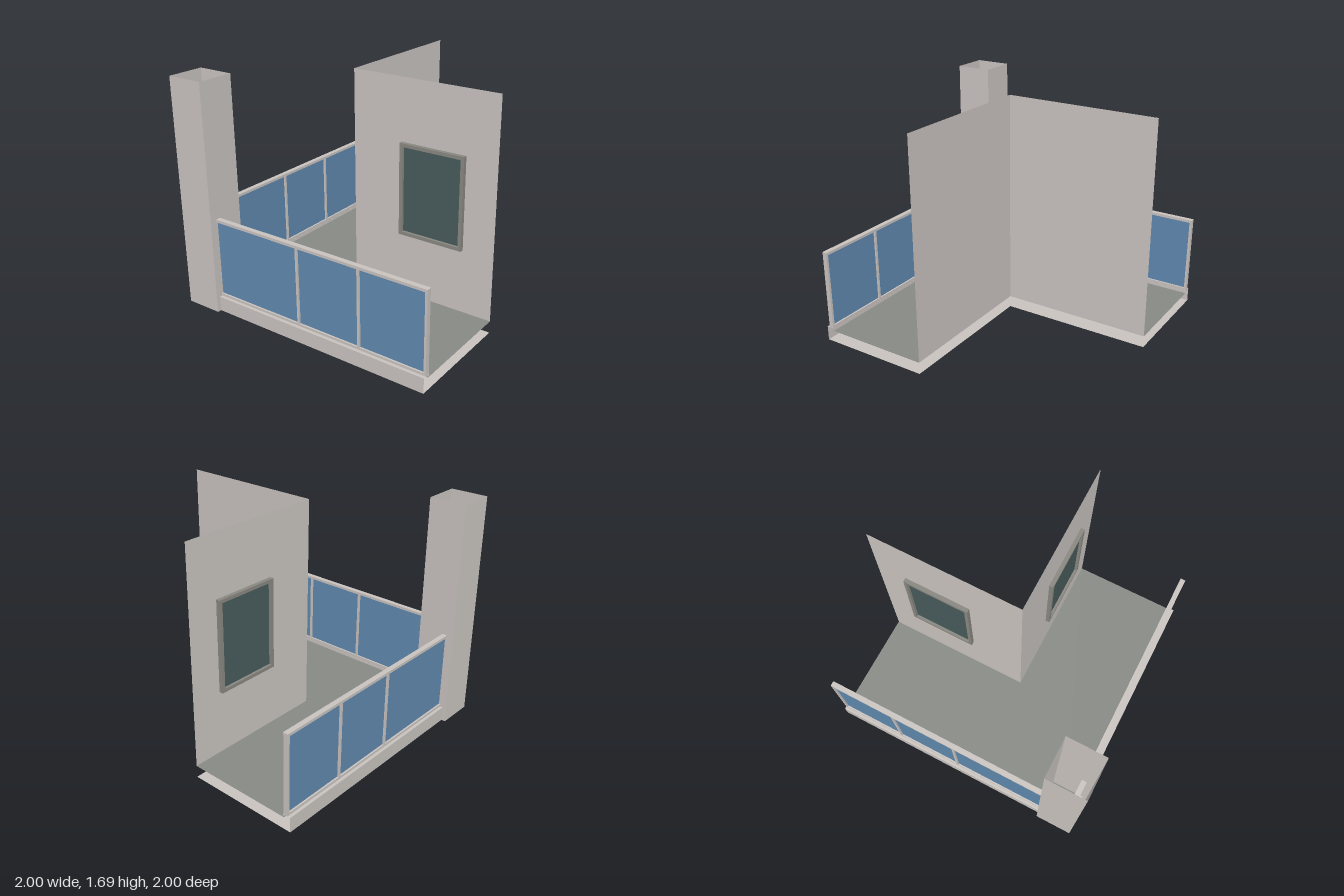
import * as THREE from 'three';

const mat = (name, color, side = THREE.FrontSide) => {
  const m = new THREE.MeshStandardMaterial({ color, side });
  m.name = name;
  return m;
};

export function createModel() {
  const plaster = mat('plaster', 0xc8c2be, THREE.DoubleSide);
  const tile = mat('floorTile', 0x868983, THREE.DoubleSide);
  const frameGrey = mat('windowFrameGrey', 0x87867f);
  const windowDark = mat('windowGlass', 0x475a5a);
  const blue = mat('railingGlass', 0x5f87ad);

  const model = new THREE.Group();
  model.name = 'cornerBalcony';

  const add = (parent, name, geometry, material) => {
    const mesh = new THREE.Mesh(geometry, material);
    mesh.name = name;
    parent.add(mesh);
    return mesh;
  };
  // box given by its limits on each axis
  const box = (parent, name, x0, x1, y0, y1, z0, z1, material) =>
    add(parent, name, new THREE.BoxGeometry(Math.abs(x1 - x0), y1 - y0, z1 - z0), material)
      .position.set((x0 + x1) / 2, (y0 + y1) / 2, (z0 + z1) / 2);
  // upright sheet facing +z
  const sheet = (parent, name, x0, x1, y0, y1, z, material) =>
    add(parent, name, new THREE.PlaneGeometry(Math.abs(x1 - x0), y1 - y0), material)
      .position.set((x0 + x1) / 2, (y0 + y1) / 2, z);

  // L-shaped horizontal sheet reaching out to the distance e
  const slab = (name, e, y, material) => {
    const pts = [[-e, -e], [1, -e], [1, -0.13], [-0.13, -0.13], [-0.13, 1], [-e, 1]];
    const geo = new THREE.ShapeGeometry(new THREE.Shape(pts.map(p => new THREE.Vector2(...p))));
    geo.rotateX(-Math.PI / 2);
    add(model, name, geo, material).position.y = y;
  };
  slab('floor', 0.92, 0.09, tile);
  slab('soffit', 0.97, 0.002, plaster);

  // hollow corner column, open at both ends
  const column = new THREE.Group();
  column.name = 'cornerColumn';
  column.position.set(-0.86, 0, 0.86);
  for (let i = 0; i < 4; i++) {
    const geo = new THREE.PlaneGeometry(0.28, 1.69);
    geo.translate(0, 0.845, 0.14);
    geo.rotateY(i * Math.PI / 2);
    add(column, 'columnSide', geo, plaster);
  }
  model.add(column);

  // one wing: wall, window, fascia and railing; s mirrors along x
  const wing = (name, s) => {
    const g = new THREE.Group();
    g.name = name;
    sheet(g, 'wall', -0.13 * s, s, 0.09, 1.69, 0.13, plaster);

    // window frame with recessed pane
    const outline = new THREE.Shape();
    outline.moveTo(-0.25, 0.565).lineTo(0.25, 0.565).lineTo(0.25, 1.24).lineTo(-0.25, 1.24).closePath();
    const hole = new THREE.Path();
    hole.moveTo(-0.225, 0.59).lineTo(-0.225, 1.215).lineTo(0.225, 1.215).lineTo(0.225, 0.59).closePath();
    outline.holes.push(hole);
    add(g, 'windowFrame', new THREE.ExtrudeGeometry(outline, { depth: 0.03, bevelEnabled: false }), frameGrey)
      .position.set(0.52 * s, 0, 0.135);
    box(g, 'windowPane', 0.295 * s, 0.745 * s, 0.59, 1.215, 0.137, 0.145, windowDark);

    // fascia, ledge and inner kerb
    sheet(g, 'fascia', -0.97 * s, s, 0, 0.11, 0.97, plaster);
    sheet(g, 'kerb', -0.91 * s, s, 0.09, 0.115, 0.911, plaster);
    const ledge = new THREE.PlaneGeometry(1.97, 0.06);
    ledge.rotateX(-Math.PI / 2);
    add(g, 'ledge', ledge, plaster).position.set(0.015 * s, 0.11, 0.94);

    // railing bars, posts and glass
    box(g, 'handrail', -0.95 * s, s, 0.685, 0.705, 0.911, 0.949, plaster);
    box(g, 'bottomRail', -0.95 * s, s, 0.112, 0.13, 0.915, 0.949, plaster);
    const posts = [-0.94, -0.005, 0.4925, 0.9915];
    posts.forEach((x, i) => {
      box(g, 'post', (x - 0.0085) * s, (x + 0.0085) * s, 0.115, 0.685, 0.915, 0.949, plaster);
      if (i) box(g, 'glassPanel', (posts[i - 1] + 0.0085) * s, (x - 0.0085) * s, 0.13, 0.685, 0.928, 0.936, blue);
    });
    model.add(g);
    return g;
  };
  wing('frontWing', 1);
  wing('sideWing', -1).rotation.y = -Math.PI / 2;

  return model;
}
